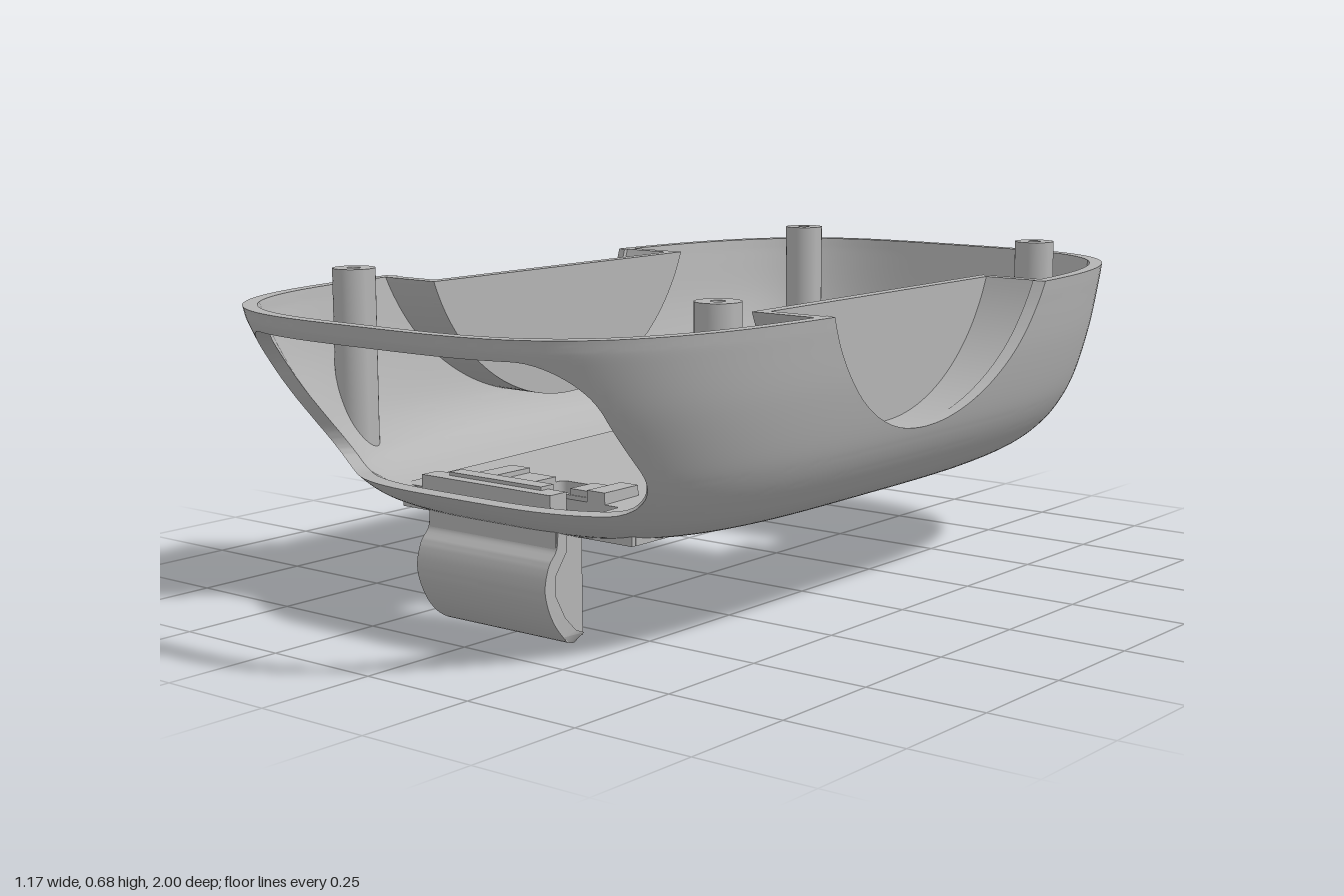
import * as THREE from 'three';
import { toCreasedNormals } from 'three/addons/utils/BufferGeometryUtils.js';

const grey = new THREE.MeshStandardMaterial({ color: 0xb4b4b4, side: THREE.DoubleSide });
grey.name = 'grey plastic';

// Shell profile from rim to base: height, half width, front reach, back reach
const LEVELS = [
  [0.64, 0.59, 1, 1], [0.6, 0.585, 0.985, 0.994], [0.5, 0.57, 0.925, 0.975], [0.4, 0.545, 0.85, 0.95],
  [0.34, 0.52, 0.805, 0.925], [0.29, 0.485, 0.765, 0.895], [0.25, 0.445, 0.715, 0.825],
  [0.22, 0.385, 0.64, 0.72], [0.212, 0.33, 0.58, 0.63], [0.212, 0.17, 0.3, 0.32], [0.212, 0.001, 0.001, 0.001],
];
const reach = new THREE.CatmullRomCurve3(LEVELS.map(l => new THREE.Vector3(l[1], l[2], l[3])), false, 'catmullrom', 0.5);
const height = new THREE.CatmullRomCurve3(LEVELS.map(l => new THREE.Vector3(0, l[0], 0)), false, 'catmullrom', 0.5);
const POWER = 3.6, WALL = 0.025;
const ARC = { z: -0.015, y: 0.795, r: 0.415 };
const panelY = z => 0.25 - 0.025 * z;

function shellPoint(t, a, inset) {
  const r = reach.getPoint(t), c = Math.cos(a), s = Math.sin(a);
  const k = 1 / Math.pow(Math.abs(c) ** POWER + Math.abs(s) ** POWER, 1 / POWER);
  let y = height.getPoint(t).y;
  if (inset) y += WALL * THREE.MathUtils.clamp((0.3 - y) / 0.07, 0, 1);
  const w = Math.max(r.x - inset, 0.0005), d = Math.max((s > 0 ? r.y : r.z) - inset, 0.0005);
  return new THREE.Vector3(w * k * c, y, d * k * s);
}

// Finds the last profile position for which a test still holds
function search(test) {
  let lo = 0, hi = 0.8;
  for (let i = 0; i < 24; i++) {
    const m = (lo + hi) / 2;
    if (test(m)) lo = m; else hi = m;
  }
  return lo;
}
function floorY(x, z) {
  return height.getPoint(search(t => {
    const r = reach.getPoint(t);
    return Math.abs(x / r.x) ** POWER + Math.abs(z / (z > 0 ? r.y : r.z)) ** POWER < 1;
  })).y;
}
function sideX(y, z) {
  const r = reach.getPoint(search(t => height.getPoint(t).y > y));
  return r.x * Math.pow(1 - Math.abs(z / (z > 0 ? r.y : r.z)) ** POWER, 1 / POWER);
}

// Positive where the shell stays: front window, side scoops and base recess are cut away
function keep(p) {
  const qx = Math.abs(p.x) - 0.32, qy = Math.abs(p.y - 0.445) - 0.055;
  const front = p.z < 0 ? 1 : Math.hypot(Math.max(qx, 0), Math.max(qy, 0)) + Math.min(Math.max(qx, qy), 0) - 0.1;
  const scoop = Math.abs(p.x) < 0.35 ? 1 : Math.hypot(p.z - ARC.z, p.y - ARC.y) - ARC.r;
  const recess = Math.max(Math.abs(p.x) - 0.29, p.z - 0.6, p.y - panelY(p.z));
  return Math.min(front, scoop, recess);
}

function geometryFrom(points, crease = 0.5) {
  const g = new THREE.BufferGeometry().setFromPoints(points);
  g.computeVertexNormals();
  return toCreasedNormals(g, crease);
}

function shellGeometry() {
  const U = 240, V = 66, out = [], grid = [];
  for (let j = 0; j <= V; j++) {
    const row = [];
    for (let i = 0; i < U; i++) {
      const a = i / U * Math.PI * 2, o = shellPoint(j / V, a, 0);
      row.push({ o, i: shellPoint(j / V, a, WALL), f: keep(o), top: j === 0, cut: false });
    }
    grid.push(row);
  }
  const mix = (a, b) => {
    const k = a.f / (a.f - b.f);
    return { o: a.o.clone().lerp(b.o, k), i: a.i.clone().lerp(b.i, k), f: 0, top: a.top && b.top, cut: true };
  };
  const emit = tri => {
    const poly = [];
    tri.forEach((a, n) => {
      const b = tri[(n + 1) % 3];
      if (a.f > 0) poly.push(a);
      if ((a.f > 0) !== (b.f > 0)) poly.push(a.f > 0 ? mix(a, b) : mix(b, a));
    });
    for (let n = 1; n + 1 < poly.length; n++) {
      out.push(poly[0].o, poly[n].o, poly[n + 1].o, poly[0].i, poly[n + 1].i, poly[n].i);
    }
    // Wall thickness along the rim and every cut edge
    poly.forEach((a, n) => {
      const b = poly[(n + 1) % poly.length];
      if ((a.cut && b.cut) || (a.top && b.top)) out.push(a.o, a.i, b.i, a.o, b.i, b.o);
    });
  };
  for (let j = 0; j < V; j++) for (let i = 0; i < U; i++) {
    const n = (i + 1) % U, a = grid[j][i], b = grid[j][n], c = grid[j + 1][n], d = grid[j + 1][i];
    emit([a, b, c]);
    emit([a, c, d]);
  }
  return geometryFrom(out);
}

// Curved floor of a side scoop, running from the inner wall to the shell side
function scoopGeometry() {
  const N = 48, out = [], rows = [];
  for (let n = 0; n <= N; n++) {
    const ring = [ARC.r, ARC.r + WALL].map((r, k) => {
      const a = (n / N * 2 - 1) * Math.acos((ARC.y - 0.64) / r);
      const z = ARC.z + r * Math.sin(a), y = ARC.y - r * Math.cos(a);
      return [new THREE.Vector3(0.415, y, z), new THREE.Vector3(sideX(y, z) - k * 0.012, y, z)];
    });
    rows.push([ring[0][0], ring[0][1], ring[1][1], ring[1][0]]);
  }
  const quad = (a, b, c, d) => out.push(a, b, c, a, c, d);
  for (let n = 0; n < N; n++) for (let k = 0; k < 4; k++) {
    quad(rows[n][k], rows[n + 1][k], rows[n + 1][(k + 1) % 4], rows[n][(k + 1) % 4]);
  }
  quad(...rows[0]);
  quad(...rows[N].slice().reverse());
  return geometryFrom(out);
}

// Extrudes a [z, y] outline along x, centred on x
function slab(points, x, width) {
  const shape = new THREE.Shape(points.map(p => new THREE.Vector2(-p[0], p[1])));
  const g = new THREE.ExtrudeGeometry(shape, { depth: width, bevelEnabled: false });
  return g.rotateY(Math.PI / 2).translate(x - width / 2, 0, 0);
}

function roundedHole(x0, x1, z0, z1, r) {
  const h = new THREE.Path();
  h.absarc(x1 - r, z1 - r, r, 0, Math.PI / 2);
  h.absarc(x0 + r, z1 - r, r, Math.PI / 2, Math.PI);
  h.absarc(x0 + r, z0 + r, r, Math.PI, Math.PI * 1.5);
  h.absarc(x1 - r, z0 + r, r, Math.PI * 1.5, Math.PI * 2);
  h.closePath();
  return h;
}

export function createModel() {
  const model = new THREE.Group();
  const add = (name, geometry) => {
    const mesh = new THREE.Mesh(geometry, grey);
    mesh.name = name;
    model.add(mesh);
    return mesh;
  };
  const box = (name, x0, x1, y0, y1, z0, z1) =>
    add(name, new THREE.BoxGeometry(x1 - x0, y1 - y0, z1 - z0).translate((x0 + x1) / 2, (y0 + y1) / 2, (z0 + z1) / 2));

  add('shell', shellGeometry());

  // Recessed base panel with its openings
  const outline = new THREE.Shape();
  outline.moveTo(-0.3, 0.61).lineTo(0.3, 0.61).lineTo(0.3, -0.76);
  outline.bezierCurveTo(0.3, -0.85, 0.24, -0.872, 0.14, -0.875).lineTo(-0.14, -0.875);
  outline.bezierCurveTo(-0.24, -0.872, -0.3, -0.85, -0.3, -0.76);
  outline.holes.push(roundedHole(-0.165, 0.165, -0.43, -0.225, 0.02), roundedHole(-0.05, 0.05, 0.41, 0.49, 0.015),
    roundedHole(-0.12, 0.2, 0.53, 0.6, 0.004), roundedHole(-0.12, 0.12, 0.502, 0.528, 0.002));
  const panel = new THREE.ExtrudeGeometry(outline, { depth: WALL, bevelEnabled: false }).rotateX(Math.PI / 2);
  const pp = panel.attributes.position;
  for (let i = 0; i < pp.count; i++) pp.setY(i, pp.getY(i) + panelY(pp.getZ(i)) + WALL);
  add('basePanel', panel);
  for (const s of [-1, 1]) {
    add('recessWall', slab([[0.6, 0.213], [-0.6, 0.213], [-0.7, 0.226], [-0.78, 0.25], [-0.81, 0.272], [0.6, 0.24]], s * 0.295, 0.012));
  }
  box('recessFrontWall', -0.3, 0.3, 0.213, 0.25, 0.598, 0.61);

  // Side scoops
  const scoop = scoopGeometry(), cheek = [], R = ARC.r + WALL, span = Math.acos((ARC.y - 0.64) / R);
  for (let n = 0; n <= 40; n++) {
    const a = (n / 20 - 1) * span;
    cheek.push([ARC.z + R * Math.sin(a), ARC.y - R * Math.cos(a)]);
  }
  for (const s of [-1, 1]) {
    add('scoopFloor', scoop).scale.x = s;
    add('scoopWall', slab(cheek, s * 0.4275, 0.025));
  }

  // Screw posts, their feet following the shell
  const post = (name, x, z, r, hole, top, foot) => {
    const v = (a, b) => new THREE.Vector2(a, b);
    const profile = [v(r, 0), v(r, top), v(hole, top), v(hole, top - 0.08), v(0, top - 0.08)];
    const g = toCreasedNormals(new THREE.LatheGeometry(profile, 28), 0.6).translate(x, 0, z);
    const p = g.attributes.position;
    for (let i = 0; i < p.count; i++) {
      if (p.getY(i) < 0.01) p.setY(i, foot ?? floorY(p.getX(i), p.getZ(i)) + 0.012);
    }
    add(name, g);
  };
  for (const s of [-1, 1]) {
    post('rearPost', s * 0.325, -0.8, 0.044, 0.014, 0.68);
    post('frontPost', s * 0.47, 0.57, 0.044, 0.014, 0.68);
    for (const z of [-0.68, -0.06]) post('boardPost', s * 0.238, z, 0.03, 0.012, 0.41, panelY(z) + 0.01);
  }

  // Latch frame inside the front of the base
  for (const [x0, x1, y0, y1, z0, z1] of [
    [-0.17, -0.12, 0.24, 0.285, 0.43, 0.64], [-0.17, -0.05, 0.24, 0.275, 0.43, 0.5],
    [0.05, 0.165, 0.24, 0.275, 0.43, 0.5], [0.12, 0.165, 0.24, 0.285, 0.43, 0.53],
    [-0.12, 0.12, 0.245, 0.29, 0.59, 0.64], [-0.17, 0.165, 0.25, 0.305, 0.64, 0.685],
    [-0.12, 0.12, 0.3, 0.312, 0.625, 0.66],
  ]) box('latchFrame', x0, x1, y0, y1, z0, z1);

  // Curved thumb latch with rounded lower corners
  const outer = new THREE.SplineCurve([[0.595, 0.001], [0.64, 0.015], [0.682, 0.06], [0.705, 0.12], [0.695, 0.17], [0.672, 0.2], [0.668, 0.24]]
    .map(p => new THREE.Vector2(...p))).getPoints(36).map(p => [p.x, p.y]);
  const face = slab([...outer, [0.64, 0.24], [0.645, 0.19], [0.675, 0.15], [0.675, 0.11], [0.65, 0.065], [0.62, 0.035], [0.595, 0.025]], 0, 0.336);
  const fp = face.attributes.position, r = 0.035;
  for (let i = 0; i < fp.count; i++) {
    const d = Math.max(r - fp.getY(i), 0), x = fp.getX(i);
    fp.setX(i, x - Math.sign(x) * (r - Math.sqrt(r * r - d * d)));
  }
  add('latchFace', toCreasedNormals(face, 0.6));
  const rib = [[0.597, 0.02], [0.635, 0.03], [0.672, 0.07], [0.692, 0.12], [0.685, 0.16], [0.66, 0.2], [0.66, 0.24], [0.597, 0.24]];
  for (const x of [-0.154, -0.06, 0.06, 0.154]) add('latchRib', slab(rib, x, 0.022));
  box('latchBackBar', -0.154, 0.154, 0.09, 0.112, 0.6, 0.66);
  box('latchNeck', -0.165, 0.165, 0.2, 0.25, 0.63, 0.672);
  return model;
}
